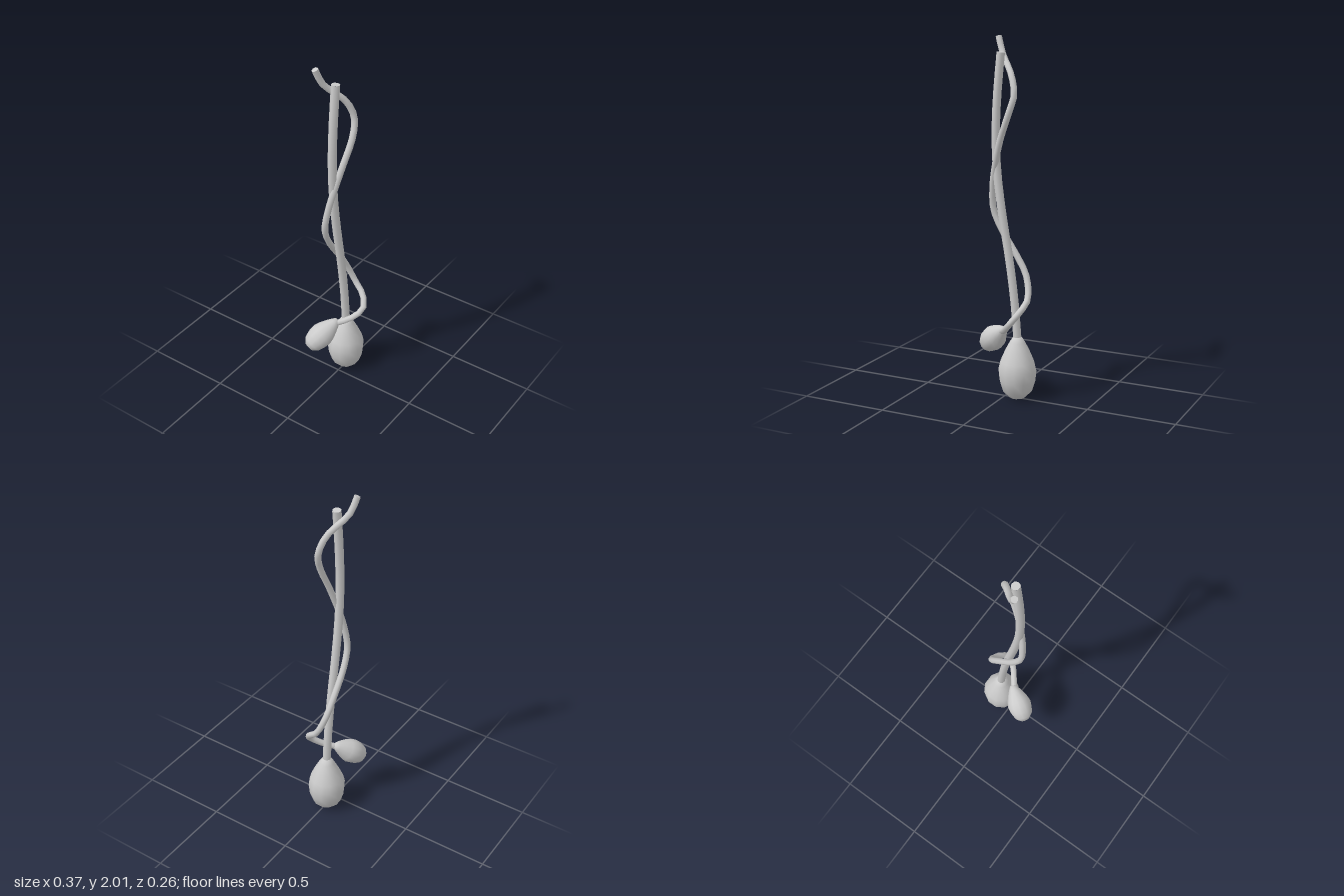
import * as THREE from 'three';

const material = new THREE.MeshStandardMaterial({ color: 0xcccccc });
const vec = (p) => new THREE.Vector3(...p);

// Smooth tube through the points, closed with a disc at each end
function cord(name, points, radius, segments) {
  const group = new THREE.Group();
  group.name = name;
  const curve = new THREE.CatmullRomCurve3(points.map(vec));
  const tube = new THREE.Mesh(new THREE.TubeGeometry(curve, segments, radius, 8), material);
  tube.name = name + 'Tube';
  group.add(tube);
  for (const [t, sign] of [[0, -1], [1, 1]]) {
    const cap = new THREE.Mesh(new THREE.CircleGeometry(radius, 8), material);
    cap.name = name + 'Cap';
    cap.position.copy(curve.getPointAt(t));
    const out = curve.getTangentAt(t).multiplyScalar(sign);
    cap.quaternion.setFromUnitVectors(new THREE.Vector3(0, 0, 1), out);
    group.add(cap);
  }
  return group;
}

// Teardrop with its rounded end at the origin and its neck along +y
const profile = [
  [0, 0], [0.045, 0.006], [0.083, 0.045], [0.102, 0.105], [0.108, 0.165],
  [0.096, 0.215], [0.07, 0.275], [0.044, 0.325], [0.024, 0.355], [0, 0.358],
].map(([r, y]) => new THREE.Vector2(r, y));

function bulb(name, tip, neck, scale) {
  const mesh = new THREE.Mesh(new THREE.LatheGeometry(profile, 12, Math.PI / 12), material);
  mesh.name = name;
  mesh.position.copy(vec(tip));
  const axis = vec(neck).sub(vec(tip)).normalize();
  mesh.quaternion.setFromUnitVectors(new THREE.Vector3(0, 1, 0), axis);
  mesh.scale.setScalar(scale);
  return mesh;
}

export function createModel() {
  const model = new THREE.Group();
  model.name = 'twinedStems';

  // Thick, gently bowed stem and its large hanging bulb
  model.add(cord('mainStem', [
    [-0.025, 1.92, 0], [-0.046, 1.7, 0], [-0.056, 1.48, 0], [-0.047, 1.27, 0],
    [-0.015, 1.03, 0], [0.025, 0.8, 0], [0.058, 0.56, 0], [0.077, 0.34, 0],
  ], 0.024, 16));
  model.add(bulb('largeBulb', [0.077, 0, 0], [0.077, 0.358, 0], 1));

  // Thin vine winding around the stem
  model.add(cord('vine', [
    [-0.08, 2.0, -0.087], [-0.045, 1.91, -0.065], [0.045, 1.8, 0.015],
    [0.076, 1.7, 0.047], [0.048, 1.6, 0.056], [-0.012, 1.45, 0.037],
    [-0.057, 1.3, 0.01], [-0.08, 1.19, -0.01], [-0.085, 1.06, -0.03],
    [-0.04, 0.95, -0.038], [0.06, 0.8, -0.037], [0.118, 0.7, -0.027],
    [0.147, 0.58, 0.02], [0.127, 0.52, 0.085], [0.088, 0.465, 0.112],
    [0.045, 0.42, 0.08], [0.008, 0.39, 0.035], [-0.02, 0.375, -0.002],
  ], 0.018, 40));

  // Small bulb angled off the end of the vine
  model.add(bulb('smallBulb', [-0.168, 0.25, -0.095], [-0.008, 0.39, 0], 0.655));

  return model;
}
